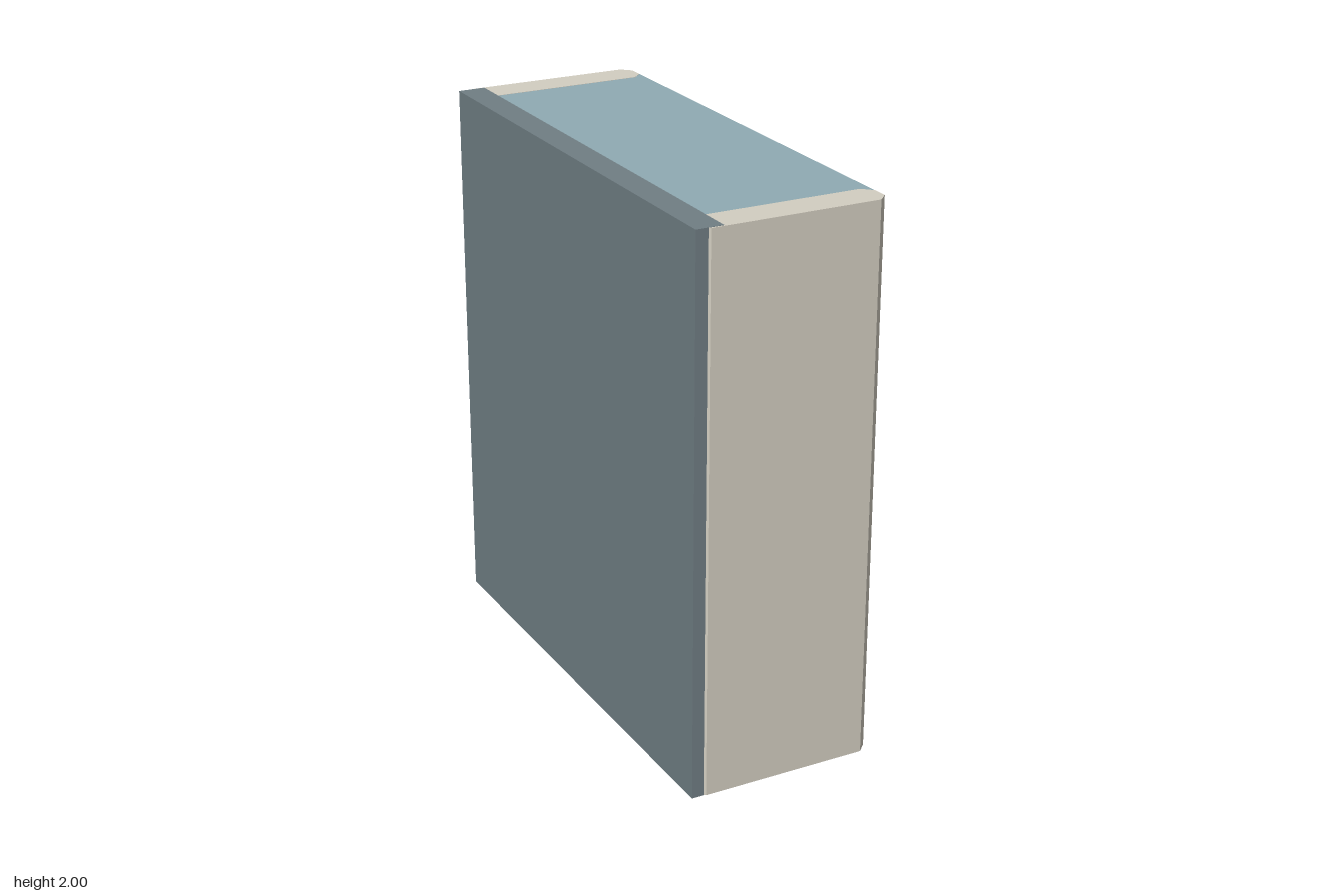
import * as THREE from 'three';

export function createModel() {
  const group = new THREE.Group();
  group.name = 'bookcase';
  const material = (name, color) => {
    const m = new THREE.MeshStandardMaterial({ color });
    m.name = name;
    return m;
  };
  const cream = material('cream', 0xd3cec1);
  const paleBlue = material('pale blue', 0x90abb3);
  const slate = material('slate', 0x707e84);

  const add = (name, geometry, mat, x, y, z) => {
    const mesh = new THREE.Mesh(geometry, mat);
    mesh.name = name;
    mesh.position.set(x, y, z);
    group.add(mesh);
  };

  // Side panel plan: a rectangle with chamfered corners, extruded upwards
  const x0 = -0.33, x1 = 0.346, h = 0.0625, c = 0.034;
  const plan = new THREE.Shape([
    [x0 + c, -h], [x1 - c, -h], [x1, -h + c], [x1, h - c],
    [x1 - c, h], [x0 + c, h], [x0, h - c], [x0, -h + c],
  ].map(([x, y]) => new THREE.Vector2(x, y)));
  const side = new THREE.ExtrudeGeometry(plan, { depth: 1.998, bevelEnabled: false });
  side.rotateX(-Math.PI / 2);
  add('leftEndPanel', side, cream, 0, 0.001, 0.8425);
  add('rightEndPanel', side, cream, 0, 0.001, -0.8425);

  // Back panel stands a hair proud of the ends at top and bottom
  add('backPanel', new THREE.BoxGeometry(0.1, 2, 1.798), slate, -0.298, 1, 0);

  // Five evenly spaced shelves, flush with the front edges
  const thickness = 0.147;
  const shelf = new THREE.BoxGeometry(0.605, thickness, 1.632);
  for (let i = 0; i < 5; i++) {
    add('shelf' + (i + 1), shelf, paleBlue, 0.0445, 0.198 + i * 0.45 - thickness / 2, 0);
  }
  return group;
}
